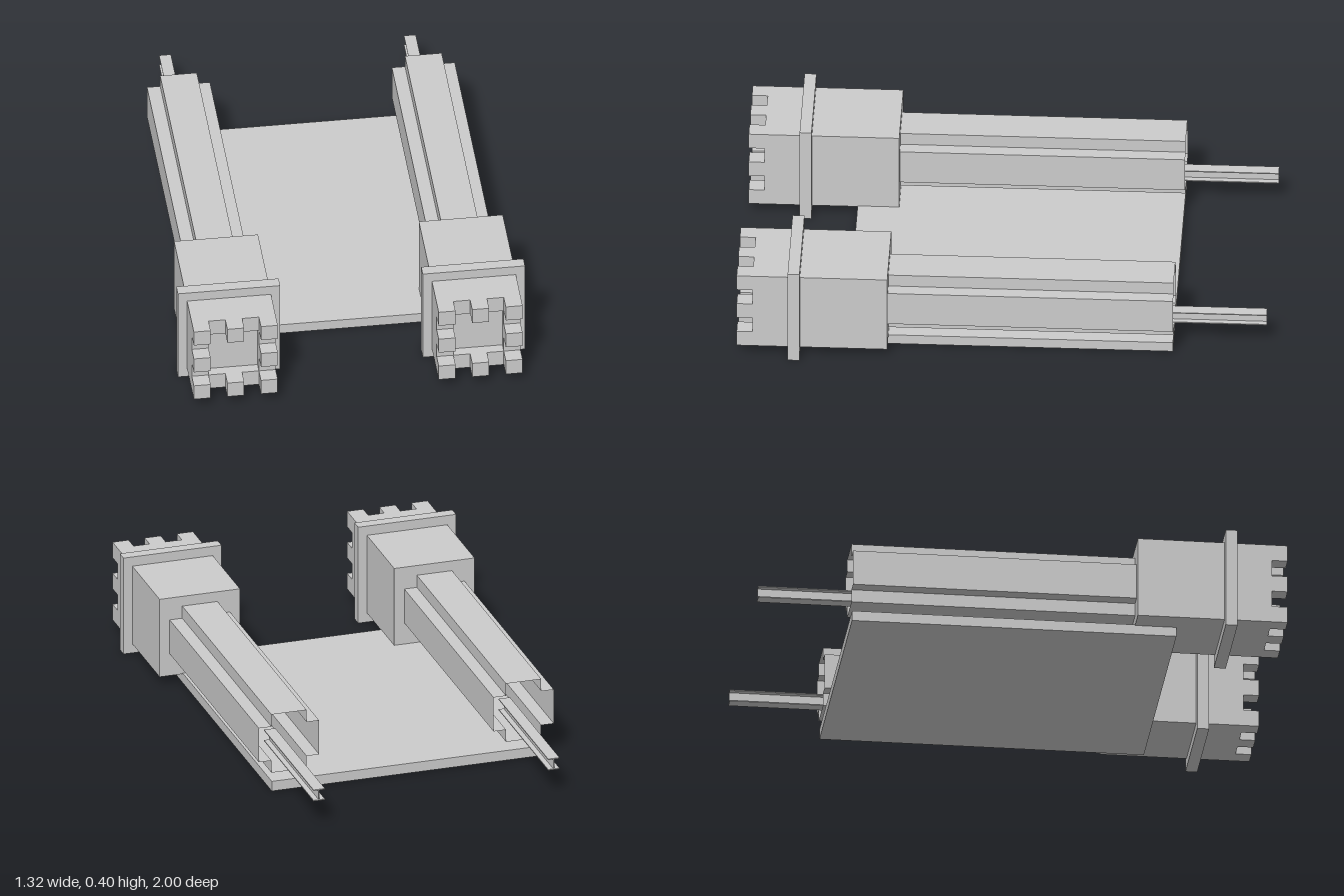
import * as THREE from 'three';

const material = new THREE.MeshStandardMaterial({ color: 0xcccccc, flatShading: true, side: THREE.DoubleSide });

function box(name, parent, w, h, d, x, y, z) {
  const mesh = new THREE.Mesh(new THREE.BoxGeometry(w, h, d), material);
  mesh.name = name;
  mesh.position.set(x, y, z);
  parent.add(mesh);
  return mesh;
}

// Open-ended tube with a plus-shaped outline: half width a, half arm width b
function plusTube(a, b, z0, z1) {
  const outline = [[b, a], [b, b], [a, b], [a, -b], [b, -b], [b, -a],
    [-b, -a], [-b, -b], [-a, -b], [-a, b], [-b, b], [-b, a]].reverse();
  const positions = [];
  outline.forEach(([x0, y0], i) => {
    const [x1, y1] = outline[(i + 1) % outline.length];
    positions.push(x0, y0, z0, x1, y1, z0, x1, y1, z1, x0, y0, z0, x1, y1, z1, x0, y0, z1);
  });
  const geometry = new THREE.BufferGeometry();
  geometry.setAttribute('position', new THREE.Float32BufferAttribute(positions, 3));
  geometry.computeVertexNormals();
  return geometry;
}

function createBarrel() {
  const barrel = new THREE.Group();
  const cell = 0.064;

  // Front block, with a shallow square recess in its front rim
  box('block', barrel, 0.32, 0.32, 0.47, 0, 0, 0.665);
  const rimShape = new THREE.Shape([[-0.16, -0.16], [0.16, -0.16], [0.16, 0.16], [-0.16, 0.16]]
    .map(([x, y]) => new THREE.Vector2(x, y)));
  const h = cell * 1.5;
  rimShape.holes.push(new THREE.Path([[-h, -h], [-h, h], [h, h], [h, -h]]
    .map(([x, y]) => new THREE.Vector2(x, y))));
  const rim = new THREE.Mesh(new THREE.ExtrudeGeometry(rimShape, { depth: 0.04, bevelEnabled: false }), material);
  rim.name = 'rim';
  rim.position.z = 0.9;
  barrel.add(rim);

  // Eight teeth around the rim
  for (let i = -1; i <= 1; i++) {
    for (let j = -1; j <= 1; j++) {
      if (i || j) box('tooth', barrel, cell, cell, 0.06, i * cell * 2, j * cell * 2, 0.97);
    }
  }

  // Square collar
  box('collar', barrel, 0.39, 0.396, 0.045, 0, 0, 0.783);

  // Long hollow shaft
  const shaft = new THREE.Mesh(plusTube(0.12, 0.07, -0.65, 0.43), material);
  shaft.name = 'shaft';
  barrel.add(shaft);

  // Thin flanged rail sticking out of the back
  for (const y of [-0.098, -0.055]) box('railFlange', barrel, 0.045, 0.004, 0.6, -0.005, y, -0.7);
  box('railWeb', barrel, 0.004, 0.04, 0.6, -0.005, -0.0765, -0.7);
  return barrel;
}

export function createModel() {
  const model = new THREE.Group();
  model.name = 'twinBarrelSled';

  // Base plate
  box('basePlate', model, 1.07, 0.04, 1.235, 0, 0.022, -0.03);

  // Matching barrels on both sides
  for (const side of [-1, 1]) {
    const barrel = createBarrel();
    barrel.name = side > 0 ? 'leftBarrel' : 'rightBarrel';
    barrel.position.set(side * 0.467, 0.199, 0);
    model.add(barrel);
  }
  return model;
}
